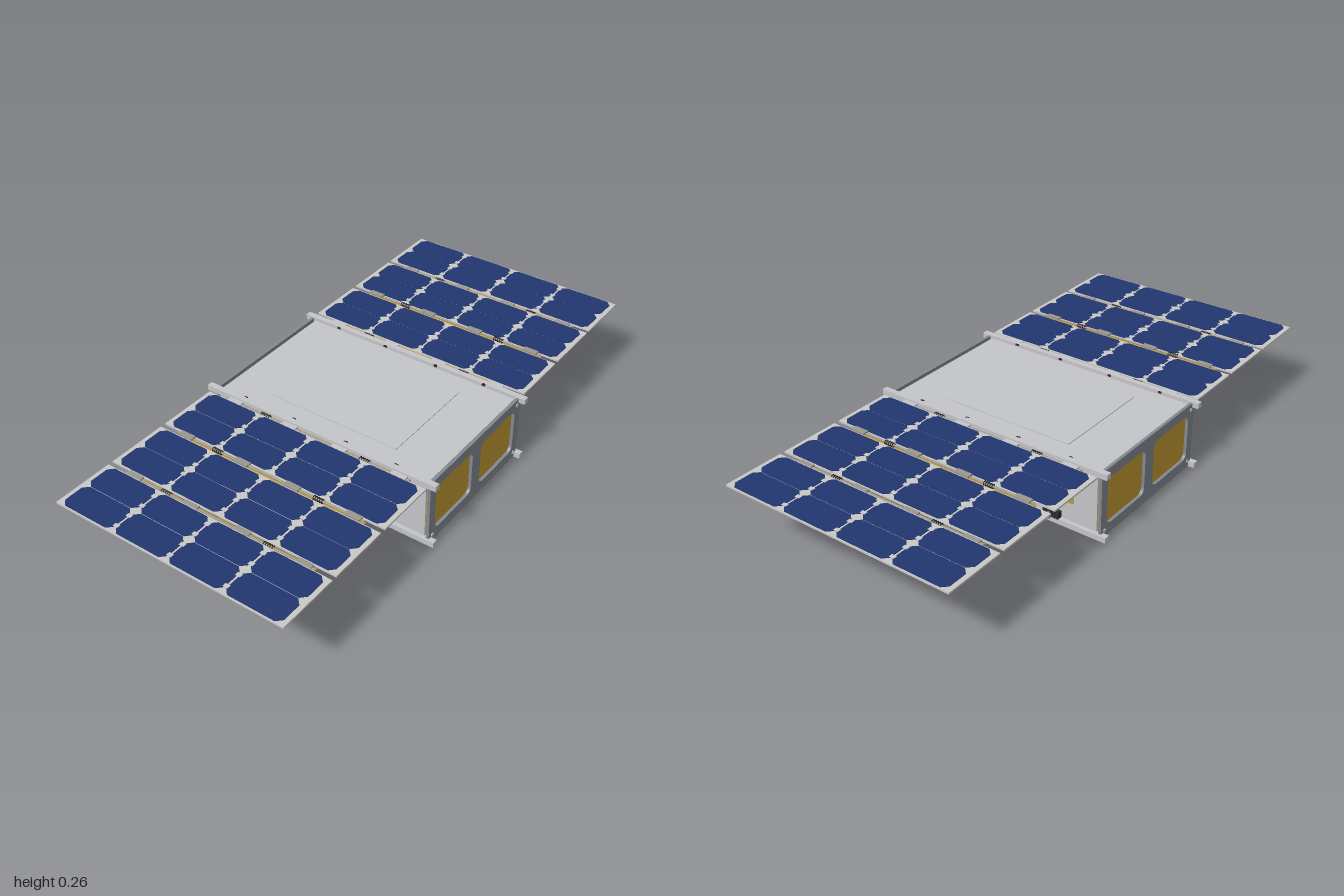
import * as THREE from 'three';

const mat = (name, color) => {
  const m = new THREE.MeshStandardMaterial({ color });
  m.name = name;
  return m;
};

export function createModel() {
  const shell = mat('light aluminium', 0xc4c5c8);
  const frame = mat('frame grey', 0x828990);
  const gold = mat('gold foil', 0xc09834);
  const blue = mat('solar blue', 0x22366f);
  const board = mat('panel grey', 0xc8c8c6);
  const metal = mat('hinge grey', 0x9a968f);
  const black = mat('black', 0x2b2b2d);

  const model = new THREE.Group();
  model.name = 'satellite';

  const add = (parent, name, geo, material, x = 0, y = 0, z = 0) => {
    const mesh = new THREE.Mesh(geo, material);
    mesh.name = name;
    mesh.position.set(x, y, z);
    parent.add(mesh);
    return mesh;
  };
  const box = (parent, name, w, h, d, material, x, y, z) =>
    add(parent, name, new THREE.BoxGeometry(w, h, d), material, x, y, z);

  // Rounded rectangle outline, used for the window openings
  const roundRect = (path, x0, y0, x1, y1, r) => {
    path.moveTo(x0 + r, y0);
    path.lineTo(x1 - r, y0);
    path.absarc(x1 - r, y0 + r, r, -Math.PI / 2, 0);
    path.lineTo(x1, y1 - r);
    path.absarc(x1 - r, y1 - r, r, 0, Math.PI / 2);
    path.lineTo(x0 + r, y1);
    path.absarc(x0 + r, y1 - r, r, Math.PI / 2, Math.PI);
    path.lineTo(x0, y0 + r);
    path.absarc(x0 + r, y0 + r, r, Math.PI, Math.PI * 1.5);
    return path;
  };

  // ---- Body ----
  const body = new THREE.Group();
  body.name = 'body';
  model.add(body);

  box(body, 'topPanel', 0.53, 0.008, 0.84, shell, 0, 0.238, 0);
  box(body, 'topPad', 0.38, 0.003, 0.5, shell, 0, 0.2435, 0);
  box(body, 'bottomPanel', 0.53, 0.01, 0.85, frame, 0, 0.013, 0);

  // End plates with two openings over gold foil
  const plate = new THREE.Shape();
  plate.moveTo(-0.276, 0.004);
  plate.lineTo(0.276, 0.004);
  plate.lineTo(0.276, 0.25);
  plate.lineTo(-0.276, 0.25);
  plate.closePath();
  for (const s of [-1, 1]) {
    plate.holes.push(roundRect(new THREE.Path(), s * 0.134 - 0.109, 0.042, s * 0.134 + 0.109, 0.214, 0.024));
  }
  const plateGeo = new THREE.ExtrudeGeometry(plate, { depth: 0.011, bevelEnabled: false, curveSegments: 6 });
  const screwGeo = new THREE.CylinderGeometry(0.007, 0.007, 0.003, 12).rotateX(Math.PI / 2);
  for (const s of [1, -1]) {
    const end = new THREE.Group();
    end.name = s > 0 ? 'frontEnd' : 'backEnd';
    end.rotation.y = s > 0 ? 0 : Math.PI;
    body.add(end);
    add(end, 'endPlate', plateGeo, frame, 0, 0, 0.426);
    box(end, 'foilSheet', 0.53, 0.215, 0.006, gold, 0, 0.1275, 0.42);
    for (const x of [-0.255, 0.255]) {
      for (const y of [0.027, 0.229]) add(end, 'screw', screwGeo, shell, x, y, 0.438);
    }
  }

  // Sides, mirrored about x = 0
  for (const s of [1, -1]) {
    const side = new THREE.Group();
    side.name = s > 0 ? 'leftSide' : 'rightSide';
    body.add(side);
    box(side, 'sidePanel', 0.008, 0.216, 0.834, shell, s * 0.266, 0.128, 0);
    box(side, 'sidePad', 0.003, 0.1, 0.25, shell, s * 0.2712, 0.128, 0.153);
    box(side, 'foilPatch', 0.003, 0.076, 0.304, gold, s * 0.2712, 0.128, -0.175);
    for (const y of [0.012, 0.245]) {
      box(side, 'rail', 0.021, 0.02, 0.92, shell, s * 0.274, y, 0);
    }
    // Latches low on the side and pins along the top rail
    for (const z of [-0.25, 0.253]) {
      box(side, 'latchBody', 0.018, 0.026, 0.062, black, s * 0.279, 0.034, z);
      box(side, 'latchCap', 0.012, 0.007, 0.035, black, s * 0.277, 0.05, z);
      box(side, 'latchArm', 0.006, 0.026, 0.008, metal, s * 0.29, 0.026, z + 0.005);
    }
    for (const z of [-0.31, -0.105, 0.105, 0.3]) {
      box(side, 'railPin', 0.008, 0.006, 0.012, black, s * 0.263, 0.252, z);
    }
  }

  // ---- Solar wings ----
  const cw = 0.0515, ch = 0.102, c = 0.018;
  const cell = new THREE.Shape([
    [-cw + c, -ch], [cw - c, -ch], [cw, -ch + c], [cw, ch - c],
    [cw - c, ch], [-cw + c, ch], [-cw, ch - c], [-cw, -ch + c],
  ].map(([x, y]) => new THREE.Vector2(x, y)));
  const cellGeo = new THREE.ExtrudeGeometry(cell, { depth: 0.002, bevelEnabled: false }).rotateX(-Math.PI / 2);
  const rodGeo = new THREE.CylinderGeometry(0.003, 0.003, 0.74, 8).rotateX(Math.PI / 2);
  const coilGeo = new THREE.TorusGeometry(0.007, 0.0018, 5, 10);
  const panelX = [0.4115, 0.65, 0.8865];
  const hingeX = [0.293, 0.5315, 0.768];

  for (const s of [1, -1]) {
    const wing = new THREE.Group();
    wing.name = s > 0 ? 'leftWing' : 'rightWing';
    model.add(wing);

    for (const px of panelX) {
      box(wing, 'solarPanel', 0.218, 0.006, 0.872, board, s * px, 0.246, 0);
      for (const z of [-0.318, -0.106, 0.106, 0.318]) {
        for (const dx of [-0.053, 0.053]) {
          add(wing, 'solarCell', cellGeo, blue, s * px + dx, 0.249, z);
        }
      }
      // Small connectors between the rows of cells
      for (const z of [-0.212, 0, 0.212]) {
        for (const dx of [-0.08, -0.027, 0.027, 0.08]) {
          box(wing, 'cellConnector', 0.014, 0.0015, 0.018, board, s * px + dx, 0.2513, z);
        }
      }
    }

    hingeX.forEach((hx, i) => {
      const hinge = new THREE.Group();
      hinge.name = 'hinge';
      hinge.position.x = s * hx;
      wing.add(hinge);
      const y = i === 1 ? 0.251 : 0.243;
      add(hinge, 'hingeRod', rodGeo, metal, 0, y, 0);
      box(hinge, 'flexStrip', 0.034, 0.002, 0.74, gold, s * 0.008, 0.2395, 0);
      for (const z of [-0.33, -0.1, 0.1, 0.33]) {
        box(hinge, 'hingeLeaf', 0.022, 0.006, 0.055, i ? metal : shell, 0, y + 0.003, z);
      }
      for (const z of [-0.2, 0.2]) {
        for (let k = -2; k <= 2; k++) add(hinge, 'springCoil', coilGeo, black, 0, y, z + k * 0.008);
      }
    });
  }

  return model;
}
